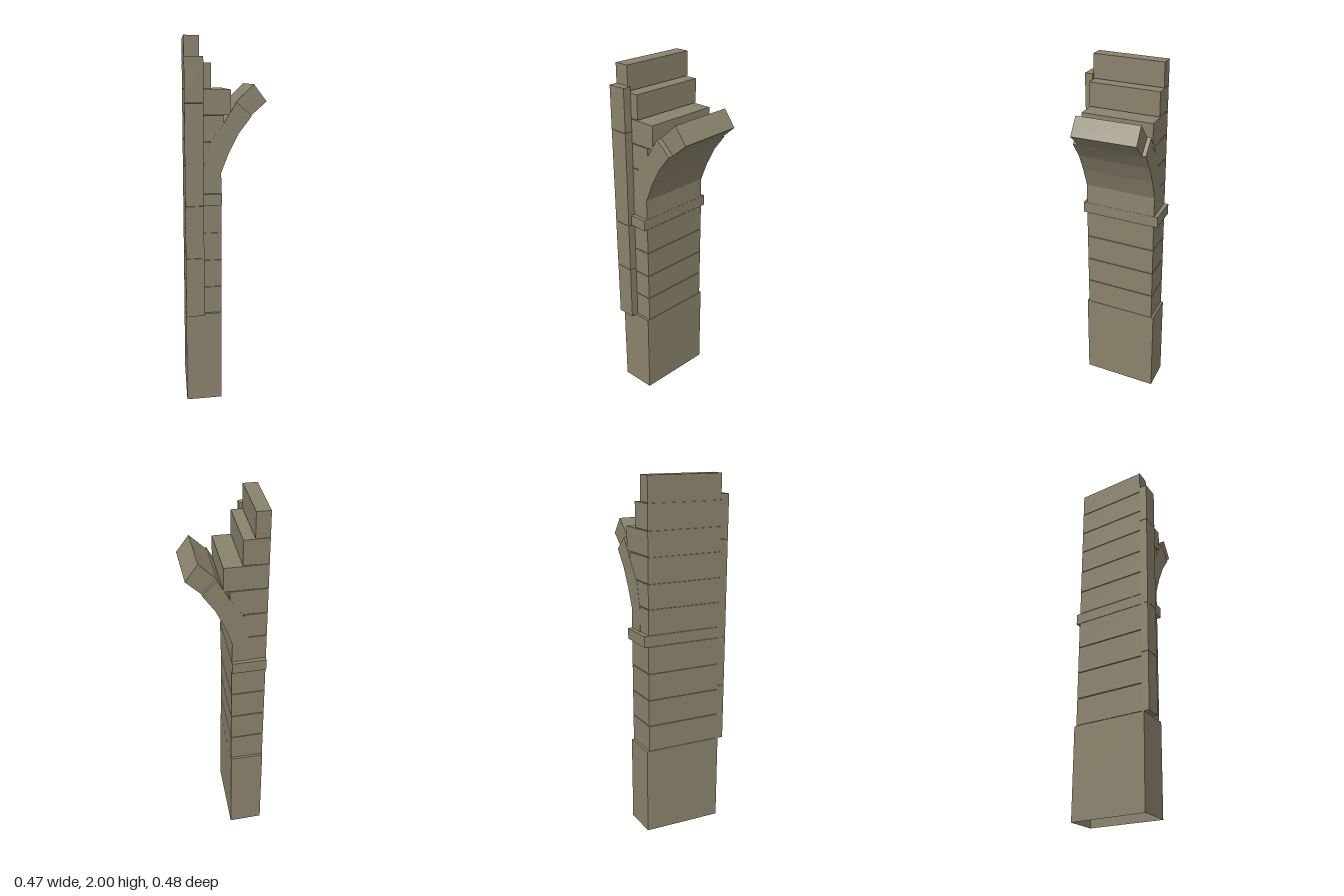
import * as THREE from 'three';

export function createModel() {
  const model = new THREE.Group();
  model.name = 'archSpringer';
  const stone = new THREE.MeshStandardMaterial({ color: 0x8a826c, side: THREE.DoubleSide });
  stone.name = 'stone';

  // The whole pier is a slightly skewed wedge: x drifts with z.
  const skew = (geometry) => {
    const p = geometry.attributes.position;
    for (let i = 0; i < p.count; i++) {
      const x = p.getX(i), z = p.getZ(i);
      p.setX(i, x - z * (0.077 - 0.126 * x));
    }
    geometry.computeVertexNormals();
    return geometry;
  };
  const add = (name, geometry) => {
    const mesh = new THREE.Mesh(skew(geometry), stone);
    mesh.name = name;
    model.add(mesh);
    return mesh;
  };
  const box = (x0, x1, y0, y1, z0, z1) =>
    new THREE.BoxGeometry(x1 - x0, y1 - y0, z1 - z0)
      .translate((x0 + x1) / 2, (y0 + y1) / 2, (z0 + z1) / 2);

  const L = -0.21, R = -0.017, back = -0.217, front = 0.198, gap = 0.002;

  // Plinth, hollow and open underneath
  const plinth = box(L, R, 0, 0.505, -0.23, 0.21);
  const index = Array.from(plinth.index.array);
  index.splice(18, 6);
  plinth.setIndex(index);
  plinth.clearGroups();
  add('plinth', plinth);

  // Core behind the open joints
  add('shaftCore', box(L + 0.006, R - 0.006, 0.5, 1.2, back + 0.006, front - 0.006));
  add('wallCore', box(L + 0.006, -0.145, 1.2, 1.95, back + 0.006, front - 0.006));

  // Shaft courses
  const joints = [0.505, 0.658, 0.81, 0.963, 1.117];
  for (let i = 0; i < 4; i++) {
    add('shaftCourse' + (i + 1), box(L, R, joints[i] + gap, joints[i + 1] - gap, back, front));
  }

  // Impost band
  add('impost', box(L, R + 0.001, 1.117, 1.178, -0.24, 0.22));

  // Wall courses behind the arch, stepping back at the top
  const courses = [
    [1.178, 1.32, -0.1], [1.32, 1.455, -0.08], [1.455, 1.595, -0.005],
    [1.595, 1.728, 0.031], [1.728, 1.865, -0.07], [1.865, 2, -0.132],
  ];
  courses.forEach(([y0, y1, x1], i) => {
    const top = i === courses.length - 1 ? y1 : y1 - gap;
    add('wallCourse' + (i + 1), box(L, x1, y0 + gap, top, back + 0.001, front - 0.002));
  });

  // Voussoirs: intrados and extrados points at each joint
  const inner = [[R, 1.178], [-0.019, 1.289], [0.022, 1.395], [0.074, 1.497], [0.142, 1.588], [0.225, 1.662]];
  const outer = [[-0.115, 1.178], [-0.113, 1.305], [-0.085, 1.44], [-0.005, 1.55], [0.062, 1.662], [0.157, 1.752]];
  for (let i = 0; i < 5; i++) {
    const last = i === 4;
    const z0 = last ? -0.195 : back, z1 = last ? 0.17 : front;
    const shape = new THREE.Shape(
      [inner[i], inner[i + 1], outer[i + 1], outer[i]].map(([x, y]) => new THREE.Vector2(x, y)));
    const g = new THREE.ExtrudeGeometry(shape, { depth: z1 - z0, bevelEnabled: false });
    add('voussoir' + (i + 1), g.translate(0, 0, z0));
  }

  // Front pilaster in stacked stones
  const stack = [0.505, 0.833, 1.12, 1.66, 1.895];
  for (let i = 0; i < 4; i++) {
    const top = i === 3 ? stack[4] : stack[i + 1] - gap;
    add('pilasterStone' + (i + 1), box(L, -0.113, stack[i], top, 0.195, 0.24));
  }

  return model;
}
